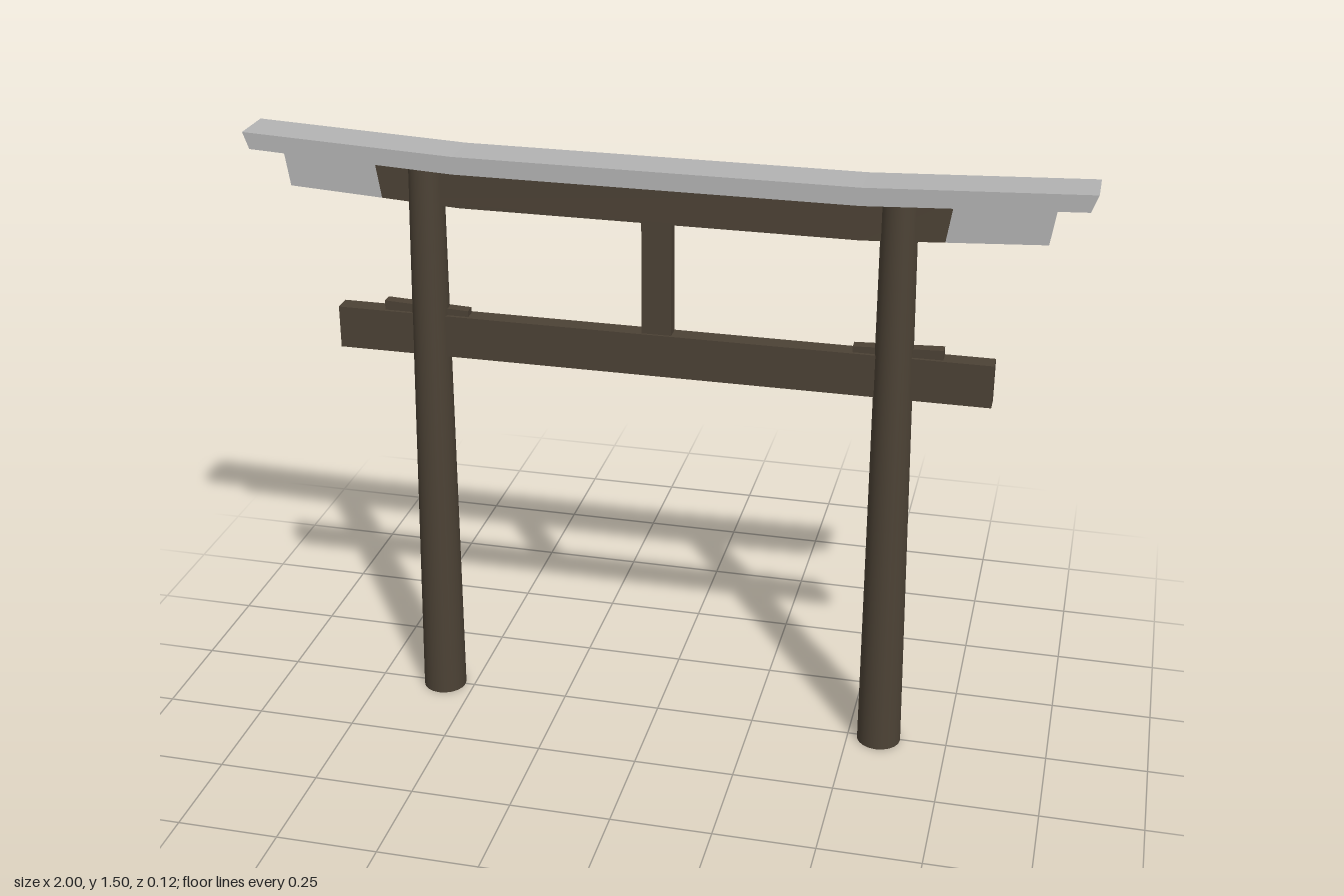
import * as THREE from 'three';

const wood = new THREE.MeshStandardMaterial({ color: 0x4c4235 });
wood.name = 'dark wood';
const stone = new THREE.MeshStandardMaterial({ color: 0xb3b3b3 });
stone.name = 'pale grey';

// Extrude an outline in x and y to a depth centred on z
function slab(points, depth) {
  const shape = new THREE.Shape(points.map(([x, y]) => new THREE.Vector2(x, y)));
  const geometry = new THREE.ExtrudeGeometry(shape, { depth, bevelEnabled: false });
  return geometry.translate(0, 0, -depth / 2);
}

// Complete a half outline by mirroring it across x = 0
const mirrored = (half) => [...half, ...half.map(([x, y]) => [-x, y]).reverse()];

export function createModel() {
  const group = new THREE.Group();
  const add = (name, geometry, material, z = -0.002) => {
    const mesh = new THREE.Mesh(geometry, material);
    mesh.name = name;
    mesh.position.z = z;
    group.add(mesh);
    return mesh;
  };

  // Top lintel: level in the middle, rising to slanted ends
  add('topLintel', slab(mirrored([
    [0.48, 1.434], [0.985, 1.459], [1, 1.5], [0.48, 1.477],
  ]), 0.112), stone);

  // Second lintel, tucked into the underside of the top one
  add('secondLintel', slab(mirrored([
    [0.48, 1.34], [0.67, 1.351], [0.686, 1.452], [0.48, 1.442],
  ]), 0.046), wood, -0.003);

  // Tie beam and the short post standing on it
  add('tieBeam', new THREE.BoxGeometry(1.6, 0.106, 0.046).translate(0, 1.007, 0), wood, -0.003);
  add('centrePost', new THREE.BoxGeometry(0.072, 0.3, 0.034).translate(0, 1.2, 0), wood, -0.003);

  for (const side of [1, -1]) {
    const label = side > 0 ? 'left' : 'right';
    const flip = (points) => points.map(([x, y]) => [side * x, y]);

    // Lintel tip: painted front and back, bare wood on the other faces
    add(label + 'LintelTip', slab(flip([
      [0.67, 1.351], [0.9, 1.364], [0.915, 1.462], [0.686, 1.452],
    ]), 0.046), [stone, wood], -0.003);

    // Tapered pillar, leaning inward
    const pillar = new THREE.CylinderGeometry(0.042, 0.055, 1.438, 20).translate(0, 0.719, 0);
    pillar.applyMatrix4(new THREE.Matrix4().set(
      1, -side * 0.0115, 0, side * 0.579,
      0, 1, 0, 0,
      0, 0, 1, 0,
      0, 0, 0, 1,
    ));
    add(label + 'Pillar', pillar, wood, 0.003);

    // Wedge driven through the pillar above the tie beam
    add(label + 'Wedge', slab(flip([
      [0.47, 1.055], [0.682, 1.055], [0.682, 1.084], [0.47, 1.075],
    ]), 0.028), wood, -0.002);
  }
  return group;
}
